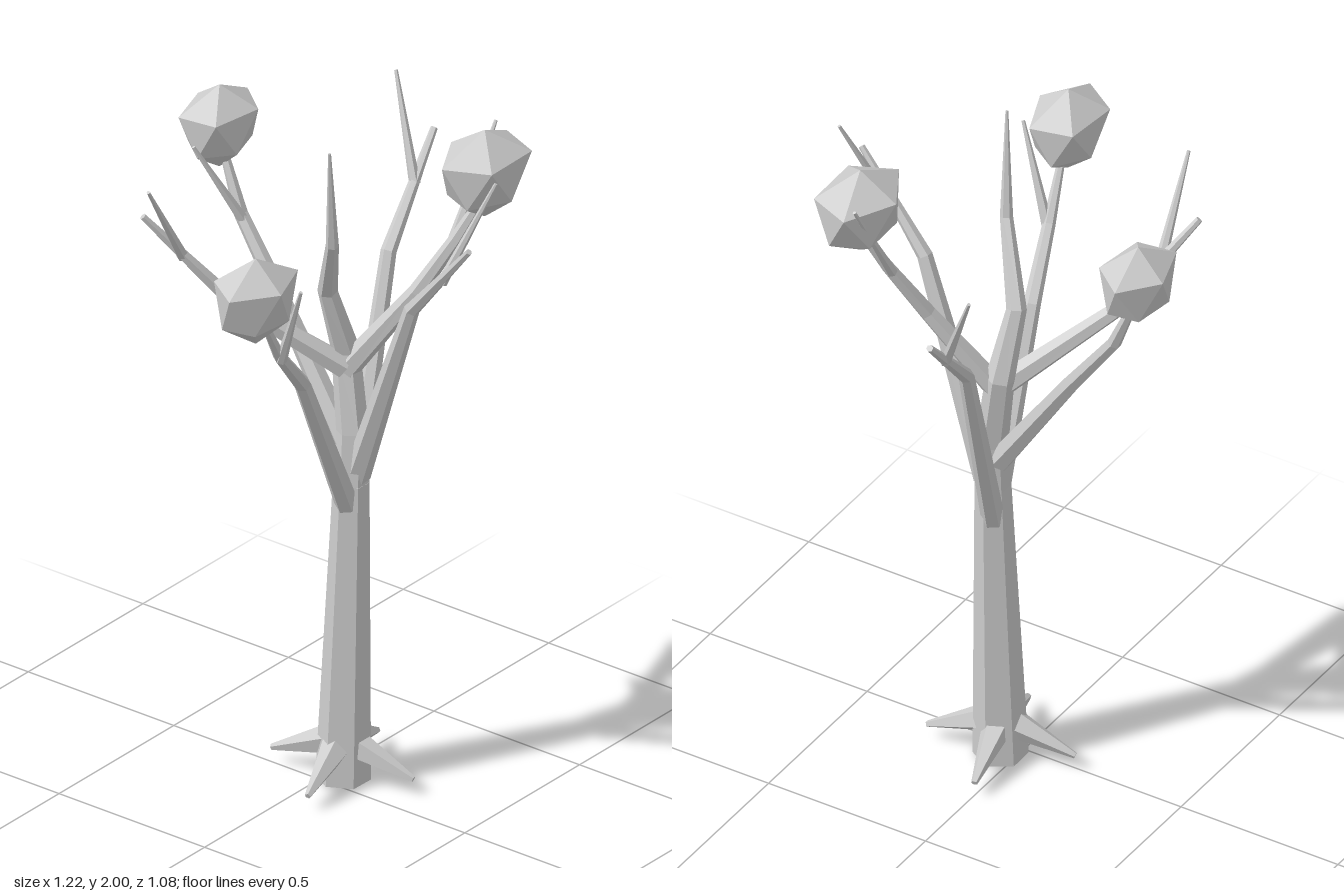
import * as THREE from 'three';

const UP = new THREE.Vector3(0, 1, 0);

// Six-sided tapered limb through points [x, y, z, radius], closed at both ends
function limbGeometry(points, sides = 6) {
  const centres = points.map(p => new THREE.Vector3(p[0], p[1], p[2]));
  const last = points.length - 1;
  const pos = [], index = [];
  centres.forEach((c, k) => {
    const dir = new THREE.Vector3();
    if (k > 0) dir.add(c.clone().sub(centres[k - 1]).normalize());
    if (k < last) dir.add(centres[k + 1].clone().sub(c).normalize());
    const q = new THREE.Quaternion().setFromUnitVectors(UP, dir.normalize());
    for (let i = 0; i < sides; i++) {
      const a = (i / sides) * Math.PI * 2, r = points[k][3];
      const v = new THREE.Vector3(Math.cos(a) * r, 0, Math.sin(a) * r).applyQuaternion(q).add(c);
      pos.push(v.x, v.y, v.z);
    }
  });
  for (let k = 0; k < last; k++) {
    for (let i = 0; i < sides; i++) {
      const j = (i + 1) % sides, lo = k * sides, hi = lo + sides;
      index.push(lo + i, hi + i, hi + j, lo + i, hi + j, lo + j);
    }
  }
  for (let i = 1; i < sides - 1; i++) {
    const t = last * sides;
    index.push(0, i, i + 1, t, t + i + 1, t + i);
  }
  const g = new THREE.BufferGeometry();
  g.setAttribute('position', new THREE.Float32BufferAttribute(pos, 3));
  g.setIndex(index);
  const flat = g.toNonIndexed();
  flat.computeVertexNormals();
  return flat;
}

// Faceted leaf ball: a point-up icosahedron whose lower half is drawn in
function leafGeometry(sx, sy, sz, yaw) {
  const g = new THREE.IcosahedronGeometry(1, 0);
  g.rotateX(-Math.atan2(0.8507, 0.5257));
  g.rotateY(yaw);
  const p = g.attributes.position;
  for (let i = 0; i < p.count; i++) {
    const k = p.getY(i) < 0 ? 0.8 : 1;
    p.setXYZ(i, p.getX(i) * sx * k, p.getY(i) * sy, p.getZ(i) * sz * k);
  }
  g.computeVertexNormals();
  return g;
}

export function createModel() {
  const model = new THREE.Group();
  model.name = 'tree';
  const grey = new THREE.MeshStandardMaterial({ color: 0xcccccc, flatShading: true });
  grey.name = 'pale grey';

  const add = (name, geometry) => {
    const mesh = new THREE.Mesh(geometry, grey);
    mesh.name = name;
    model.add(mesh);
    return mesh;
  };

  // Trunk and the leader that carries on from it
  add('trunk', limbGeometry([[0.047, 0, 0.045, 0.076], [0.067, 0.9, 0.057, 0.05]]));
  add('leader', limbGeometry([
    [0.067, 0.88, 0.057, 0.05], [0.075, 1.05, 0.055, 0.045], [0.09, 1.28, 0.02, 0.04],
    [0.03, 1.48, 0.005, 0.028], [-0.07, 1.69, 0.1, 0.018], [-0.12, 2.0, 0.13, 0.004],
  ]));

  // Main branches, each with one side twig
  const branches = {
    rightBranch: {
      path: [[0.085, 0.8, 0.045, 0.033], [0.34, 1.46, -0.03, 0.022], [0.59, 1.72, -0.07, 0.01]],
      twig: [[0.48, 1.6, -0.05, 0.016], [0.55, 1.88, -0.17, 0.005]],
    },
    leftBranch: {
      path: [[0.045, 0.84, 0.06, 0.034], [-0.2, 1.32, 0.1, 0.024], [-0.35, 1.48, 0.14, 0.018], [-0.45, 1.64, 0.16, 0.01]],
      twig: [[-0.35, 1.47, 0.145, 0.016], [-0.41, 1.74, 0.26, 0.005]],
    },
    frontBranch: {
      path: [[0.075, 0.92, 0.07, 0.038], [0.01, 1.53, 0.31, 0.022], [-0.02, 1.79, 0.53, 0.009]],
      twig: [[0.0, 1.65, 0.42, 0.015], [0.11, 1.94, 0.52, 0.005]],
    },
    backBranch: {
      path: [[0.08, 1.0, 0.03, 0.036], [0.1, 1.34, -0.2, 0.026], [0.115, 1.56, -0.36, 0.02], [0.13, 1.72, -0.43, 0.012]],
      twig: [[0.11, 1.55, -0.35, 0.016], [0.01, 1.78, -0.44, 0.005]],
    },
    backLeftBranch: {
      path: [[0.07, 1.24, 0.03, 0.036], [-0.13, 1.45, -0.2, 0.024], [-0.3, 1.72, -0.37, 0.01]],
      twig: [[-0.22, 1.59, -0.295, 0.017], [-0.39, 1.86, -0.28, 0.005]],
    },
    frontRightBranch: {
      path: [[0.08, 1.23, 0.03, 0.036], [0.17, 1.48, 0.2, 0.024], [0.24, 1.64, 0.28, 0.019], [0.29, 1.76, 0.33, 0.012]],
      twig: [[0.24, 1.63, 0.27, 0.016], [0.415, 1.93, 0.28, 0.005]],
    },
  };
  for (const [name, { path, twig }] of Object.entries(branches)) {
    add(name, limbGeometry(path));
    add(name + 'Twig', limbGeometry(twig));
  }

  // Four roots, a quarter turn apart
  for (let i = 0; i < 4; i++) {
    const a = 0.21 + (i * Math.PI) / 2, s = Math.sin(a), c = Math.cos(a);
    add('root', limbGeometry([
      [0.047 + s * 0.02, 0.115, 0.043 + c * 0.02, 0.046],
      [0.047 + s * 0.213, 0.042, 0.043 + c * 0.213, 0.009],
    ], 5));
  }

  // Leaf balls at three branch ends
  const leaves = [
    ['leftLeaves', [-0.48, 1.71, 0.16], [0.157, 0.13, 0.116, -0.14]],
    ['backLeaves', [0.13, 1.795, -0.445], [0.151, 0.125, 0.11, 0.42]],
    ['frontRightLeaves', [0.29, 1.84, 0.34], [0.17, 0.132, 0.126, 0.65]],
  ];
  for (const [name, at, size] of leaves) add(name, leafGeometry(...size)).position.set(...at);

  return model;
}
